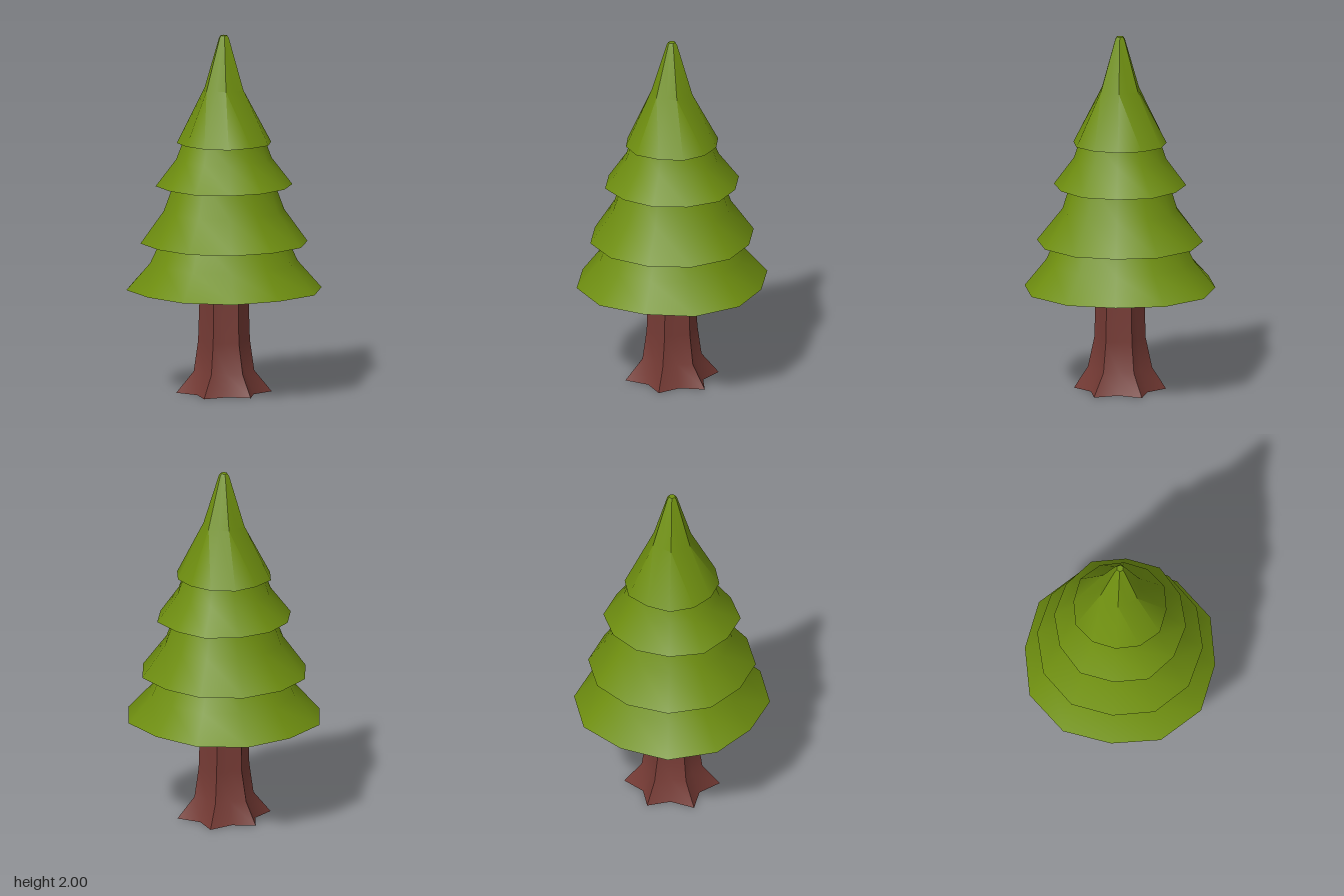
import * as THREE from 'three';
import { toCreasedNormals } from 'three/addons/utils/BufferGeometryUtils.js';

const SIDES = 12;

// Skins a stack of 12-sided rings, from the bottom up. Each ring is
// [y, radius at 0, 30, 60 and 90 degrees], mirrored into the other quadrants.
function loft(rings, crease) {
  const positions = [], index = [];
  for (const [y, ...radii] of rings) {
    for (let i = 0; i < SIDES; i++) {
      const q = i % 6;
      const r = radii[q <= 3 ? q : 6 - q];
      const a = (i / SIDES) * Math.PI * 2;
      positions.push(r * Math.cos(a), y, r * Math.sin(a));
    }
  }
  for (let j = 0; j < rings.length - 1; j++) {
    for (let i = 0; i < SIDES; i++) {
      const k = (i + 1) % SIDES;
      const a = j * SIDES + i, b = j * SIDES + k;
      const c = a + SIDES, d = b + SIDES;
      if (rings[j + 1][1] > 0) index.push(a, c, d);
      if (rings[j][1] > 0) index.push(a, d, b);
    }
  }
  const geometry = new THREE.BufferGeometry();
  geometry.setAttribute('position', new THREE.Float32BufferAttribute(positions, 3));
  geometry.setIndex(index);
  return toCreasedNormals(geometry, crease);
}

const round = (y, r) => [y, r, r, r, r];
const hexagon = (y, r) => [y, r, r * 0.866, r, r * 0.866];

export function createModel() {
  const tree = new THREE.Group();
  tree.name = 'pineTree';
  const leaves = new THREE.MeshStandardMaterial({ color: 0x6f8f10 });
  const bark = new THREE.MeshStandardMaterial({ color: 0x743a34 });

  const add = (name, rings, material, crease = 0.8) => {
    const mesh = new THREE.Mesh(loft(rings, crease), material);
    mesh.name = name;
    tree.add(mesh);
  };

  // Trunk: a hexagonal column flaring into six pointed roots
  add('trunk', [
    round(0, 0),
    [0, 0.18, 0.265, 0.18, 0.255],
    [0.12, 0.13, 0.168, 0.13, 0.178],
    [0.29, 0.118, 0.144, 0.118, 0.142],
    [0.72, 0.113, 0.13, 0.113, 0.13],
  ], bark);

  // Foliage tiers: hollowed underside, sharp rim, then the sloping skirt
  add('bottomTier', [
    round(0.67, 0.1),
    [0.58, 0.515, 0.542, 0.55, 0.528],
    [0.73, 0.4, 0.41, 0.412, 0.408],
    [0.9, 0.325, 0.33, 0.33, 0.33],
  ], leaves);
  add('lowerMiddleTier', [
    round(0.89, 0.26),
    [0.84, 0.445, 0.464, 0.466, 0.46],
    [1.02, 0.33, 0.335, 0.33, 0.318],
    [1.21, 0.265, 0.265, 0.265, 0.26],
  ], leaves);
  add('upperMiddleTier', [
    round(1.2, 0.2),
    [1.16, 0.365, 0.38, 0.366, 0.366],
    [1.31, 0.262, 0.265, 0.26, 0.255],
    [1.43, 0.22, 0.22, 0.22, 0.215],
  ], leaves);

  // Top tier narrows from a round rim to a six-sided, blunted tip
  add('topTier', [
    round(1.43, 0.16),
    [1.4, 0.255, 0.262, 0.27, 0.258],
    hexagon(1.7, 0.118),
    hexagon(1.985, 0.03),
    hexagon(2, 0.02),
    round(2, 0),
  ], leaves);

  return tree;
}
